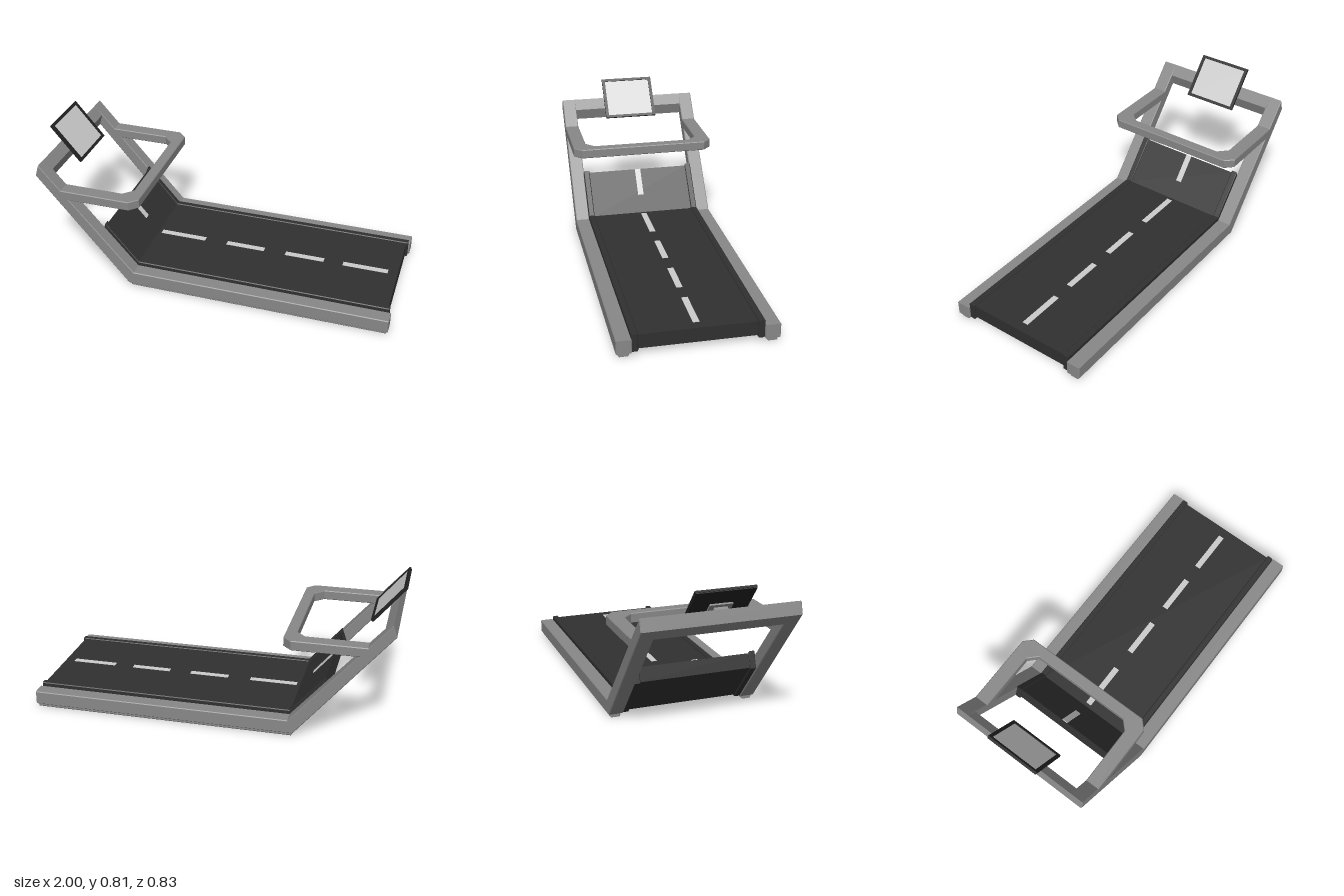
import * as THREE from 'three';

const paint = (color) => new THREE.MeshStandardMaterial({ color, flatShading: true });

export function createModel() {
  const model = new THREE.Group();
  const frame = paint(0x888888), dark = paint(0x303030), black = paint(0x222222), light = paint(0xcccccc);

  // Extrudes a side-on (x, y) outline from z0 to z1 with a small bevel.
  const outline = (points) => new THREE.Shape(points.map(([x, y]) => new THREE.Vector2(x, y)));
  function slab(points, z0, z1, bevel = 0.004) {
    return new THREE.ExtrudeGeometry(outline(points), {
      depth: z1 - z0 - 2 * bevel, bevelEnabled: bevel > 0, bevelSize: bevel,
      bevelThickness: bevel, bevelOffset: -bevel, bevelSegments: 1,
    }).translate(0, 0, z0 + bevel);
  }
  function add(name, geometry, material, parent = model) {
    const mesh = new THREE.Mesh(geometry, material);
    mesh.name = name;
    parent.add(mesh);
    return mesh;
  }

  // Bent outlines: flat base, then sloping up at the -x end
  const railProfile = [[0.995, 0.02], [0.995, 0.095], [-0.438, 0.095], [-0.96, 0.695], [-0.98, 0.63], [-0.468, 0.02]];
  const guardProfile = [[0.985, 0.022], [0.985, 0.117], [-0.436, 0.117], [-0.625, 0.337], [-0.655, 0.25], [-0.463, 0.022]];
  const beltProfile = [[0.975, 0.032], [0.975, 0.11], [-0.44, 0.11], [-0.622, 0.325], [-0.645, 0.252], [-0.46, 0.032]];
  const footProfile = [[0.985, 0], [0.985, 0.024], [-0.46, 0.024], [-0.46, 0]];

  // Side rails, belt guards and foot strips on both sides
  for (const [side, s] of [['left', -1], ['right', 1]]) {
    const strip = (name, profile, a, b, material, bevel) =>
      add(side + name, slab(profile, s > 0 ? a : -b, s > 0 ? b : -a, bevel), material);
    strip('Rail', railProfile, 0.335, 0.415, frame);
    strip('BeltGuard', guardProfile, 0.302, 0.337, dark);
    strip('Foot', footProfile, 0.347, 0.404, frame, 0.006);
  }

  // Running belt
  add('belt', slab(beltProfile, -0.305, 0.305, 0), dark);

  // Dashed centre line, with the last dash lying on the slope
  for (const [a, b] of [[0.665, 0.92], [0.33, 0.555], [-0.02, 0.205], [-0.42, -0.15]]) {
    add('beltDash', new THREE.BoxGeometry(b - a, 0.004, 0.034).translate((a + b) / 2, 0.11, 0), light);
  }
  add('slopeDash', slab([[-0.512, 0.195], [-0.51, 0.198], [-0.619, 0.327], [-0.622, 0.325]], -0.017, 0.017, 0), light);

  // Top bar joining the two rails
  add('topBar', slab([[-0.98, 0.63], [-0.934, 0.575], [-0.915, 0.64], [-0.96, 0.695]], -0.34, 0.34, 0), frame);

  // U-shaped handrail with cut corners, drawn in plan and laid flat
  const half = [[-0.86, 0.335], [-0.86, 0.415], [-0.445, 0.415], [-0.4, 0.37]];
  const inner = [[-0.46, 0.285], [-0.51, 0.335]];
  const flip = (list) => list.map(([x, z]) => [x, -z]).reverse();
  const plan = [...half, ...flip(half), ...flip(inner), ...inner];
  add('handrail', slab(plan, 0.505, 0.558).rotateX(-Math.PI / 2), frame);

  // Tilted display: local x points out of the screen, local y up along it
  const display = new THREE.Group();
  display.name = 'display';
  display.position.set(-0.913, 0.703, 0);
  display.rotation.z = Math.atan2(0.166, 0.2);
  model.add(display);
  const bezel = new THREE.Shape([[-0.131, -0.157], [0.131, -0.157], [0.131, 0.157], [-0.131, 0.157]].map(([y, z]) => new THREE.Vector2(z, y)).reverse());
  bezel.holes.push(new THREE.Path([[-0.115, -0.139], [-0.115, 0.139], [0.115, 0.139], [0.115, -0.139]].map(([y, z]) => new THREE.Vector2(z, y))));
  add('bezel', new THREE.ExtrudeGeometry(bezel, { depth: 0.012, bevelEnabled: false })
    .rotateY(Math.PI / 2).translate(-0.005, 0, 0), black, display);
  add('displayBack', new THREE.BoxGeometry(0.008, 0.258, 0.31).translate(-0.006, 0, 0), black, display);
  add('screen', new THREE.BoxGeometry(0.004, 0.232, 0.28).translate(0, 0, 0), light, display);

  // Mount between the display and the top bar
  add('mountPlate', new THREE.BoxGeometry(0.012, 0.08, 0.12).translate(-0.013, -0.01, 0), frame, display);
  add('mountArm', new THREE.BoxGeometry(0.05, 0.05, 0.07).translate(-0.034, -0.015, 0), frame, display);
  return model;
}
